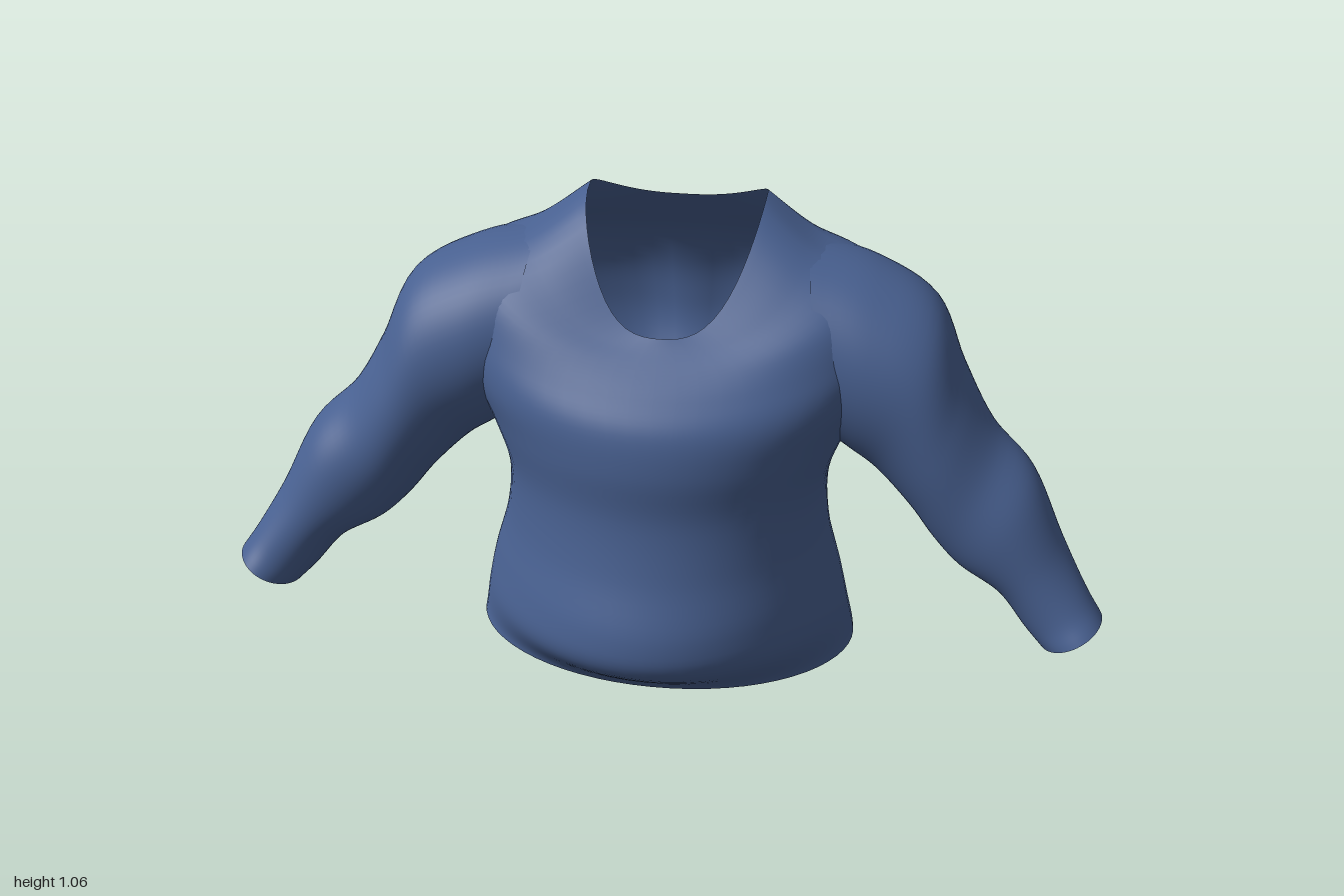
import * as THREE from 'three';

const COLS = 64, STEPS = 6;

// Smooth open tube through a list of closed rings of points
function loft(rings) {
  const rows = (rings.length - 1) * STEPS;
  const pos = [], index = [];
  const curves = [];
  for (let j = 0; j < COLS; j++) {
    curves.push(new THREE.CatmullRomCurve3(rings.map(r => r[j]), false, 'catmullrom', 0.5));
  }
  for (let i = 0; i <= rows; i++) {
    for (let j = 0; j < COLS; j++) {
      const p = curves[j].getPoint(i / rows);
      pos.push(p.x, p.y, p.z);
      if (i === rows) continue;
      const k = (j + 1) % COLS;
      const a = i * COLS + j, b = i * COLS + k;
      index.push(a, a + COLS, b, b, a + COLS, b + COLS);
    }
  }
  const geo = new THREE.BufferGeometry();
  geo.setAttribute('position', new THREE.Float32BufferAttribute(pos, 3));
  geo.setIndex(index);
  geo.computeVertexNormals();
  return geo;
}

function makeRing(fn) {
  return Array.from({ length: COLS }, (_, j) => fn(j / COLS * Math.PI * 2));
}

// Torso ring: half width, side z, front z, back z, heights at front, side and back,
// spine groove, how pointed the front is, how sharply the front rises to the side
function torsoRing([w, zc, zf, zb, yF, yS, yB, groove, point = 1, rise = 2.4]) {
  return makeRing(t => {
    const c = Math.cos(t), s = Math.sin(t);
    const x = w * c, front = s > 0;
    const z = front
      ? zc + (zf - zc) * s ** point
      : zc + (zc - zb) * s + groove * Math.exp(-((x / 0.07) ** 2));
    const yMid = front ? yF : yB;
    return new THREE.Vector3(x, yMid + (yS - yMid) * Math.abs(c) ** (front ? rise : 2.4), z);
  });
}

// Sleeve ring: outer x, y, inner x, y, front z, back z, lift of the front edge
function sleeveRing([ox, oy, ix, iy, zf, zb, lift = 0]) {
  return makeRing(t => {
    const c = Math.cos(t), s = -Math.sin(t);
    return new THREE.Vector3(
      (ox + ix) / 2 + (ox - ix) / 2 * c,
      (oy + iy) / 2 + (oy - iy) / 2 * c + lift * s,
      (zf + zb) / 2 + (zf - zb) / 2 * s);
  });
}

export function createModel() {
  const group = new THREE.Group();
  group.name = 'shirt';
  const cloth = new THREE.MeshStandardMaterial({ color: 0x486090, side: THREE.DoubleSide });
  cloth.name = 'blue cloth';

  // Torso from hem, over chest and shoulders, to scooped neckline
  const torso = new THREE.Mesh(loft([
    [0.45, 0.02, 0.285, -0.27, 0.0, 0.01, 0.018, 0],
    [0.445, 0.02, 0.31, -0.285, 0.03, 0.04, 0.05, 0, 1.1],
    [0.43, 0.04, 0.405, -0.268, 0.125, 0.12, 0.12, 0, 1.35],
    [0.41, 0.04, 0.41, -0.25, 0.215, 0.21, 0.21, 0.005, 1.4],
    [0.375, 0.03, 0.358, -0.285, 0.34, 0.34, 0.34, 0.015, 1.2],
    [0.37, 0.0, 0.325, -0.345, 0.47, 0.47, 0.47, 0.025],
    [0.415, -0.03, 0.322, -0.405, 0.59, 0.59, 0.59, 0.03],
    [0.47, -0.05, 0.30, -0.418, 0.68, 0.70, 0.68, 0.03],
    [0.50, -0.07, 0.25, -0.405, 0.74, 0.82, 0.77, 0.025],
    [0.445, -0.09, 0.20, -0.355, 0.785, 0.925, 0.87, 0.015, 0.75, 2.4],
    [0.31, -0.125, 0.165, -0.275, 0.815, 0.985, 0.955, 0.008, 0.65, 2.9],
    [0.197, -0.15, 0.145, -0.212, 0.835, 1.063, 1.017, 0, 0.8, 3.2]
  ].map(torsoRing)), cloth);
  torso.name = 'torso';
  group.add(torso);

  // Bent sleeves flowing out of the shoulders, down to open cuffs
  const sleeveGeo = loft([
    [0.30, 0.98, 0.375, 0.53, 0.135, -0.295],
    [0.45, 0.943, 0.41, 0.51, 0.155, -0.288],
    [0.585, 0.872, 0.47, 0.475, 0.165, -0.245],
    [0.655, 0.73, 0.55, 0.40, 0.172, -0.20],
    [0.73, 0.605, 0.61, 0.33, 0.175, -0.145],
    [0.825, 0.515, 0.67, 0.28, 0.19, -0.095],
    [0.90, 0.37, 0.76, 0.24, 0.20, -0.03],
    [0.96, 0.27, 0.83, 0.165, 0.22, 0.03, 0.01],
    [1.0, 0.212, 0.872, 0.125, 0.247, 0.042, 0.018]
  ].map(sleeveRing));
  for (const side of [1, -1]) {
    const sleeve = new THREE.Mesh(sleeveGeo, cloth);
    sleeve.name = side > 0 ? 'leftSleeve' : 'rightSleeve';
    sleeve.scale.x = side;
    group.add(sleeve);
  }
  return group;
}
